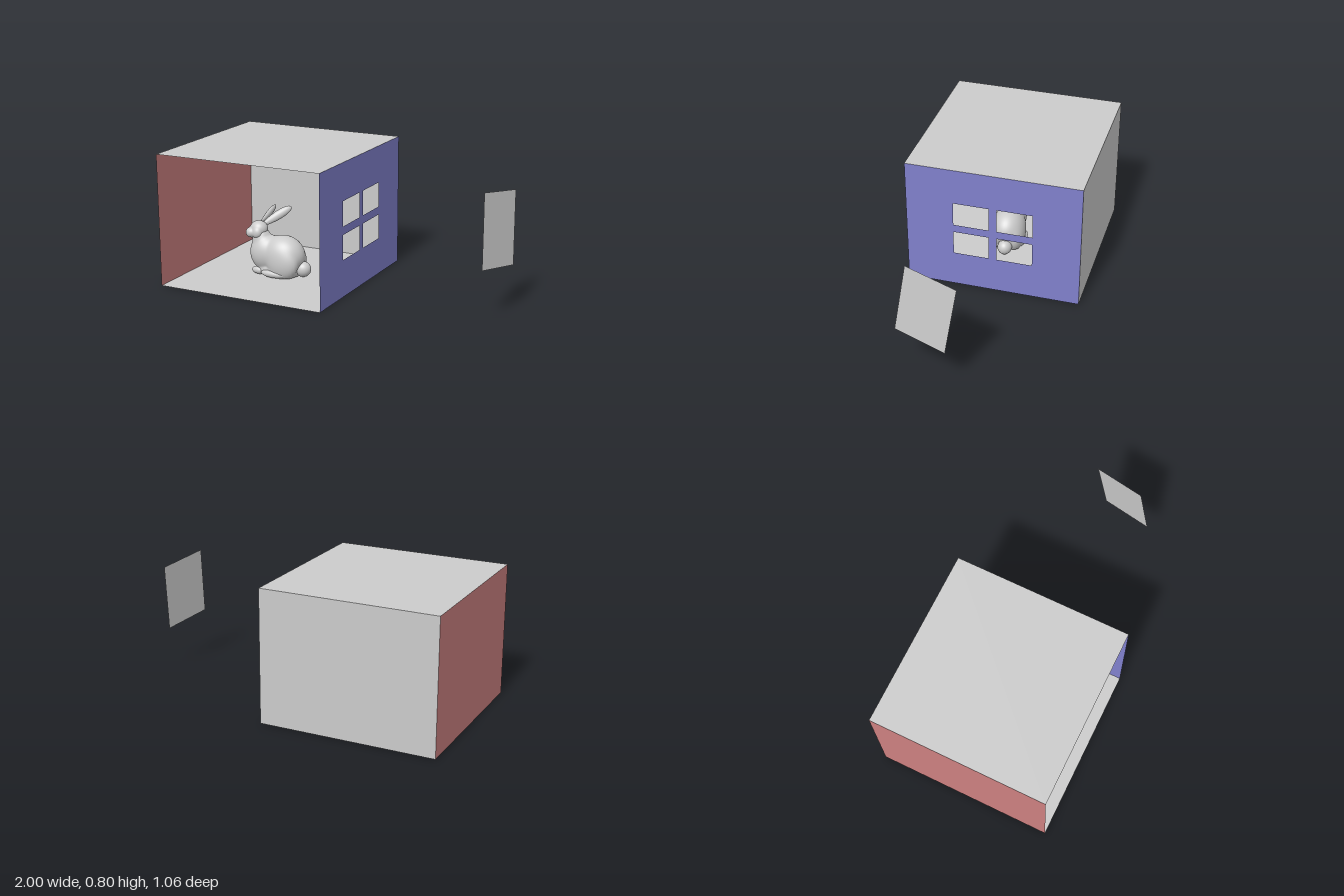
import * as THREE from 'three';
import { mergeVertices } from 'three/addons/utils/BufferGeometryUtils.js';

const V = (x, y, z) => new THREE.Vector3(x, y, z);
const material = (color, side = THREE.FrontSide) => new THREE.MeshStandardMaterial({ color, side });
const grey = material(0xcccccc);
const greySheet = material(0xcccccc, THREE.DoubleSide);
const redSheet = material(0xcc8080, THREE.DoubleSide);
const blueSheet = material(0x8080cc, THREE.DoubleSide);

function add(parent, name, geometry, mat) {
  const mesh = new THREE.Mesh(geometry, mat);
  mesh.name = name;
  parent.add(mesh);
  return mesh;
}

// Weld seams and recompute smooth normals after moving vertices
function smooth(geometry) {
  geometry.deleteAttribute('uv');
  geometry.deleteAttribute('normal');
  const welded = mergeVertices(geometry, 1e-5);
  welded.computeVertexNormals();
  return welded;
}

// Soft union of ellipsoids [cx, cy, cz, rx, ry, rz], wrapped by a sphere around a centre
function blend(centre, ellipsoids, floor = 0.004) {
  const field = (p) => ellipsoids.reduce((sum, [x, y, z, rx, ry, rz]) =>
    sum + Math.exp(14 * (1 - Math.hypot((p.x - x) / rx, (p.y - y) / ry, (p.z - z) / rz))), 0);
  const geometry = new THREE.SphereGeometry(1, 72, 48);
  const pos = geometry.attributes.position;
  const dir = V(0, 0, 0), p = V(0, 0, 0);
  for (let i = 0; i < pos.count; i++) {
    dir.fromBufferAttribute(pos, i).normalize();
    const inside = (r) => field(p.copy(centre).addScaledVector(dir, r)) >= 1;
    let hi = 0.36;
    while (hi > 0.01 && !inside(hi)) hi -= 0.006;
    let lo = hi;
    hi += 0.006;
    for (let k = 0; k < 12; k++) {
      const mid = (lo + hi) / 2;
      if (inside(mid)) lo = mid; else hi = mid;
    }
    p.copy(centre).addScaledVector(dir, lo);
    pos.setXYZ(i, p.x, Math.max(p.y, floor), p.z);
  }
  return smooth(geometry);
}

// Spoon-shaped ear running from base to tip
function ear(base, tip, across, halfWidth) {
  const along = tip.clone().sub(base);
  const half = along.length() / 2;
  along.normalize();
  const normal = across.clone().cross(along).normalize();
  const wide = along.clone().cross(normal);
  const geometry = new THREE.SphereGeometry(1, 28, 28);
  const pos = geometry.attributes.position;
  for (let i = 0; i < pos.count; i++) {
    const y = pos.getY(i);
    const swell = 0.85 + 0.2 * y;
    const x = pos.getX(i) * swell;
    const z = pos.getZ(i) * swell;
    // The front face is pressed in to form the hollow
    const hollow = z > 0 ? z * (0.25 + 0.75 * x * x) : z;
    pos.setXYZ(i, x * halfWidth, y * half, hollow * halfWidth * 0.75);
  }
  const middle = base.clone().add(tip).multiplyScalar(0.5);
  geometry.applyMatrix4(new THREE.Matrix4().makeBasis(wide, along, normal).setPosition(middle));
  return smooth(geometry);
}

function makeRoom() {
  const room = new THREE.Group();
  room.name = 'room';
  const left = -1, right = 0.06, depth = 1.06, height = 0.8;
  const width = right - left, midX = (left + right) / 2;

  // Floor and ceiling
  for (const [name, y] of [['floor', 0], ['ceiling', height]]) {
    const sheet = add(room, name, new THREE.PlaneGeometry(width, depth), greySheet);
    sheet.rotation.x = -Math.PI / 2;
    sheet.position.set(midX, y, 0);
  }
  add(room, 'backWall', new THREE.PlaneGeometry(width, height), greySheet)
    .position.set(midX, height / 2, -depth / 2);

  const plainWall = add(room, 'plainSideWall', new THREE.PlaneGeometry(depth, height), redSheet);
  plainWall.rotation.y = Math.PI / 2;
  plainWall.position.set(left, height / 2, 0);

  // Side wall with a four-pane window opening
  const rect = (T, x0, y0, x1, y1) => new T([[x0, y0], [x1, y0], [x1, y1], [x0, y1]]
    .map(([x, y]) => new THREE.Vector2(x, y)));
  const wall = rect(THREE.Shape, -depth / 2, 0, depth / 2, height);
  for (const x of [-0.24, 0.025]) {
    for (const y of [0.225, 0.425]) wall.holes.push(rect(THREE.Path, x, y, x + 0.215, y + 0.15));
  }
  const windowWall = add(room, 'windowWall', new THREE.ShapeGeometry(wall), blueSheet);
  windowWall.rotation.y = Math.PI / 2;
  windowWall.position.x = right;
  return room;
}

function makeRabbit() {
  const rabbit = new THREE.Group();
  rabbit.name = 'rabbit';

  // Rump, chest, neck and both haunches
  add(rabbit, 'body', blend(V(-0.5, 0.13, 0.04), [
    [-0.44, 0.13, 0.04, 0.135, 0.122, 0.105],
    [-0.56, 0.135, 0.045, 0.1, 0.115, 0.088],
    [-0.59, 0.22, 0.05, 0.055, 0.075, 0.052],
    [-0.42, 0.09, 0.1, 0.1, 0.095, 0.05],
    [-0.42, 0.09, -0.02, 0.1, 0.095, 0.05],
    [-0.47, 0.03, 0.04, 0.14, 0.05, 0.095],
  ]), grey);

  // Skull, muzzle, cheeks and brow
  add(rabbit, 'head', blend(V(-0.61, 0.275, 0.055), [
    [-0.605, 0.278, 0.05, 0.056, 0.05, 0.05],
    [-0.642, 0.258, 0.078, 0.036, 0.032, 0.034],
    [-0.6, 0.26, 0.085, 0.032, 0.034, 0.025],
    [-0.63, 0.262, 0.03, 0.032, 0.034, 0.025],
  ]), grey);

  add(rabbit, 'sweptEar', ear(V(-0.595, 0.295, 0.035), V(-0.453, 0.4, -0.085), V(-0.62, 0.78, 0), 0.031), grey);
  add(rabbit, 'sideEar', ear(V(-0.612, 0.305, 0.03), V(-0.61, 0.372, -0.165), V(0.3, 0.9, 0.38), 0.029), grey);

  // Tail and feet: [name, x, y, z, rx, ry, rz]
  for (const [name, x, y, z, ...r] of [
    ['tail', -0.315, 0.055, 0.03, 0.05, 0.048, 0.045],
    ['leftFrontPaw', -0.585, 0.028, 0.09, 0.05, 0.024, 0.026],
    ['rightFrontPaw', -0.585, 0.028, 0.01, 0.05, 0.024, 0.026],
    ['leftHindFoot', -0.47, 0.028, 0.122, 0.085, 0.024, 0.028],
    ['rightHindFoot', -0.47, 0.028, -0.042, 0.085, 0.024, 0.028],
  ]) {
    const part = add(rabbit, name, new THREE.SphereGeometry(1, 28, 20), grey);
    part.position.set(x, y, z);
    part.scale.set(...r);
  }
  return rabbit;
}

// Tilted floating panel outside the window
function makePanel() {
  const down = V(0.023, -0.417, 0.066);
  const across = V(0.073, -0.044, -0.307);
  const geometry = new THREE.PlaneGeometry(1, 1);
  geometry.applyMatrix4(new THREE.Matrix4()
    .makeBasis(across, down, across.clone().cross(down).normalize())
    .setPosition(0.951, 0.49, 0.112));
  return new THREE.Mesh(geometry, greySheet);
}

export function createModel() {
  const model = new THREE.Group();
  model.name = 'rabbitRoom';
  const panel = makePanel();
  panel.name = 'lightPanel';
  model.add(makeRoom(), makeRabbit(), panel);
  return model;
}
